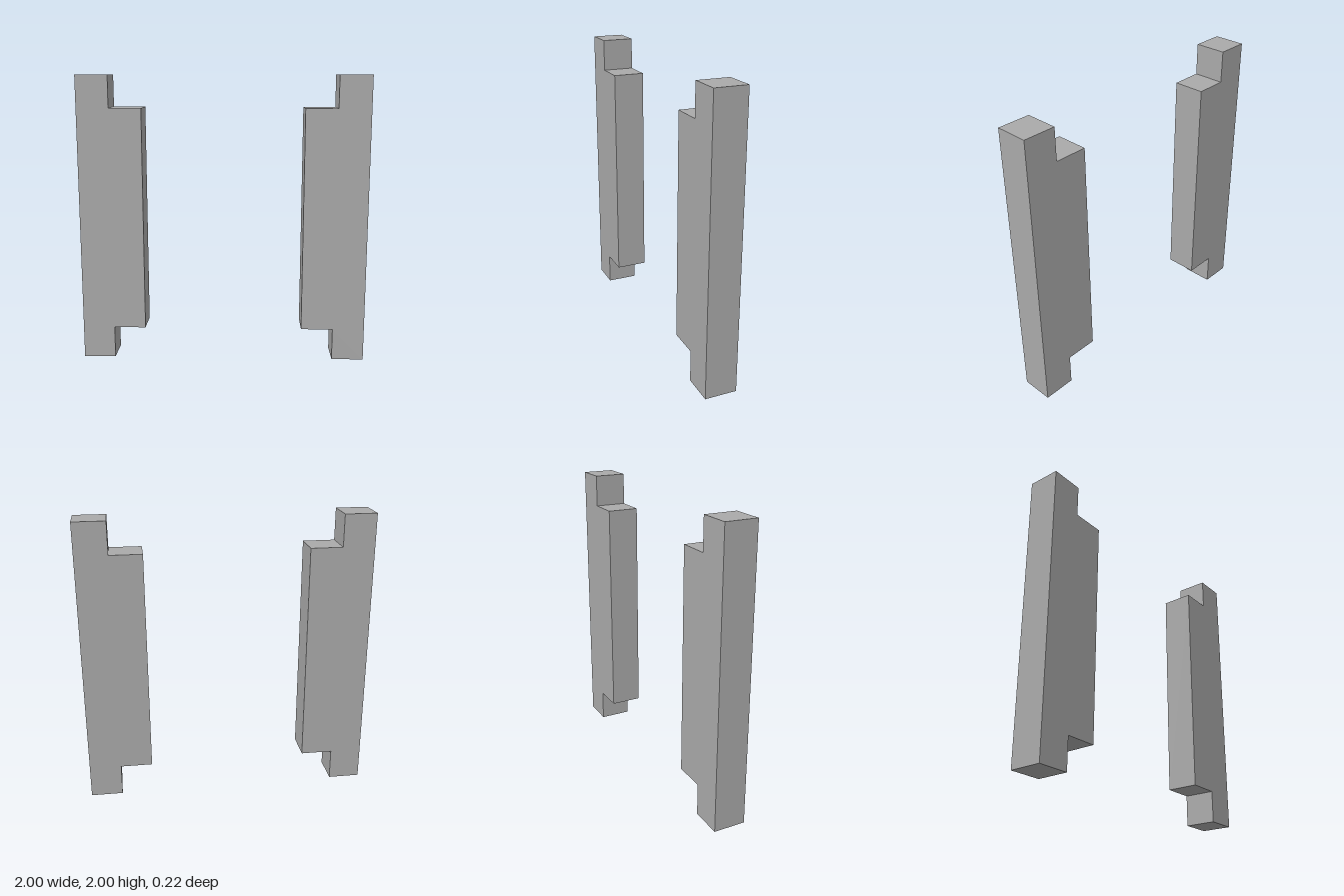
import * as THREE from 'three';

const U = 2 / 9; // square post width, the module of the whole design

export function createModel() {
  const model = new THREE.Group();
  model.name = 'postPair';

  const grey = new THREE.MeshStandardMaterial({ color: 0xaaaaaa });
  grey.name = 'plain grey';

  // Full-height outer post with a shorter ledge on its inner side
  const outline = [
    [1, 0], [1, 2], [1 - U, 2], [1 - U, 2 - U],
    [1 - 2 * U, 2 - U], [1 - 2 * U, U], [1 - U, U], [1 - U, 0],
  ];
  const profile = new THREE.Shape(outline.map(([x, y]) => new THREE.Vector2(x, y)));
  const geometry = new THREE.ExtrudeGeometry(profile, { depth: U, bevelEnabled: false });
  geometry.translate(0, 0, -U / 2);

  // The post is symmetric front to back, so a half turn mirrors it
  for (const [name, turn] of [['leftPost', 0], ['rightPost', Math.PI]]) {
    const post = new THREE.Mesh(geometry, grey);
    post.name = name;
    post.rotation.y = turn;
    model.add(post);
  }
  return model;
}
